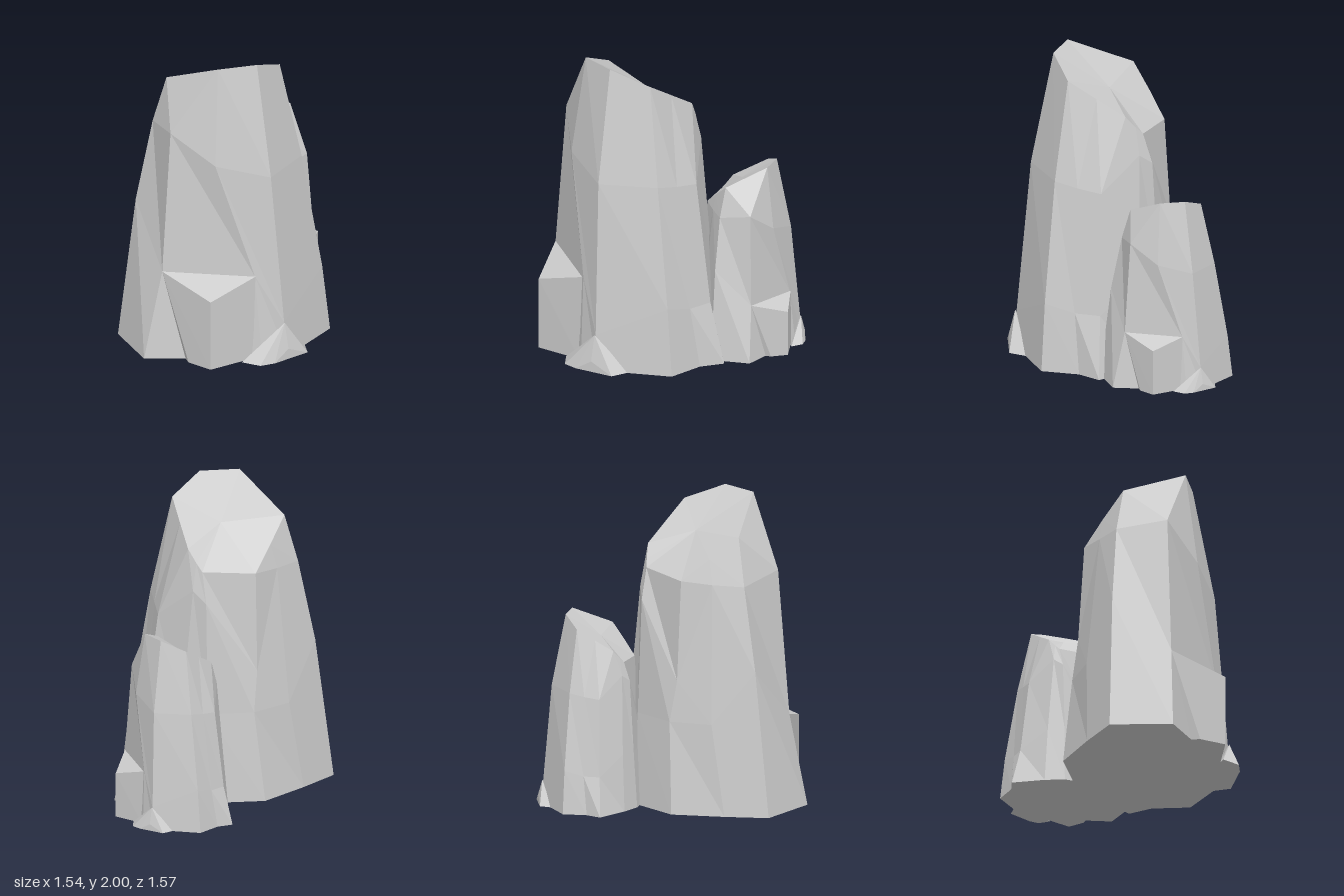
import * as THREE from 'three';
import { ConvexGeometry } from 'three/addons/geometries/ConvexGeometry.js';

// Ridges of the pillar, anticlockwise from above; each runs rim, shoulder, waist, base.
const RIDGES = [
  [[0, 2, 0.48], [0.04, 1.25, 0.62], [0.1, 0.24, 0.7], [0.12, 0, 0.71]],
  [[0.22, 1.9, 0.33], [0.35, 1.25, 0.385], [0.48, 0.45, 0.42], [0.53, 0, 0.43]],
  [[0.216, 1.79, 0.14], [0.365, 1.22, 0.23], [0.48, 0.4, 0.22], [0.53, 0, 0.18]],
  [[0.21, 1.68, -0.05], [0.38, 1.2, 0.07], [0.49, 0.4, 0.05], [0.6, 0, 0.03]],
  [[0.17, 1.6, -0.11], [0.2, 1.42, -0.14], [0.28, 0.6, -0.16], [0.33, 0, -0.185]],
  [[0.14, 1.55, -0.15], [0.13, 1.35, -0.21], [0.13, 0.6, -0.25], [0.15, 0, -0.29]],
  [[-0.2, 1.53, -0.21], [-0.2, 0.87, -0.25], [-0.17, 0.6, -0.29], [-0.23, 0, -0.345]],
  [[-0.33, 1.67, -0.08], [-0.37, 1.51, -0.1], [-0.43, 0.6, -0.18], [-0.53, 0, -0.17]],
  [[-0.46, 1.81, 0.06], [-0.54, 1.5, 0.02], [-0.65, 0.95, 0], [-0.77, 0, -0.01]],
  [[-0.26, 2, 0.45], [-0.55, 1.55, 0.35], [-0.62, 0.59, 0.38], [-0.755, 0, 0.4]],
  [[-0.26, 2, 0.45], [-0.31, 1.35, 0.53], [-0.08, 0.575, 0.64], [-0.05, 0, 0.69]],
];

const material = new THREE.MeshStandardMaterial({
  color: 0xcccccc, flatShading: true, roughness: 1,
});

const centreOf = (points) => [0, 1, 2].map(
  (axis) => points.reduce((sum, p) => sum + p[axis], 0) / points.length);

// Joins the ridges with faceted sides and closes both ends.
function pillarGeometry() {
  const positions = [];
  const same = (p, q) => p.every((v, k) => v === q[k]);
  const tri = (a, b, c) => {
    if (!same(a, b) && !same(b, c) && !same(a, c)) positions.push(...a, ...b, ...c);
  };
  const last = RIDGES[0].length - 1;
  const top = centreOf(RIDGES.map((r) => r[0]));
  const bottom = centreOf(RIDGES.map((r) => r[last]));
  RIDGES.forEach((a, i) => {
    const b = RIDGES[(i + 1) % RIDGES.length];
    for (let level = 0; level < last; level++) {
      tri(a[level + 1], b[level + 1], a[level]);
      tri(b[level + 1], b[level], a[level]);
    }
    tri(a[0], b[0], top);
    tri(b[last], a[last], bottom);
  });
  const geometry = new THREE.BufferGeometry();
  geometry.setAttribute('position', new THREE.Float32BufferAttribute(positions, 3));
  geometry.computeVertexNormals();
  return geometry;
}

const chunkGeometry = (points) =>
  new ConvexGeometry(points.map((p) => new THREE.Vector3(...p)));

export function createModel() {
  const model = new THREE.Group();
  model.name = 'rockFormation';

  const parts = {
    pillar: pillarGeometry(),
    // Broken ledge on the front corner
    ledge: chunkGeometry([
      [-0.62, 0.59, 0.38], [-0.08, 0.575, 0.65], [-0.42, 0.48, 0.717],
      [-0.42, 0, 0.717], [-0.1, 0, 0.66], [-0.51, 0, 0.56], [-0.5, 0, 0.4],
    ]),
    // Low rubble at the foot of the front ridge
    footStone: chunkGeometry([
      [0.1, 0.24, 0.71], [-0.19, 0, 0.69], [-0.1, 0, 0.785], [0, 0, 0.785],
      [0.11, 0.07, 0.75], [0.26, 0, 0.71], [0.29, 0, 0.58], [0.1, 0, 0.55],
    ]),
  };

  // The same rock twice: once full size, once smaller and turned
  const addRock = (name, scale, turn, x, z) => {
    const rock = new THREE.Group();
    rock.name = name;
    for (const [part, geometry] of Object.entries(parts)) {
      const mesh = new THREE.Mesh(geometry, material);
      mesh.name = part;
      rock.add(mesh);
    }
    rock.scale.setScalar(scale);
    rock.rotation.y = THREE.MathUtils.degToRad(turn);
    rock.position.set(x, 0, z);
    model.add(rock);
  };
  addRock('tallRock', 1, 0, 0, 0);
  addRock('shortRock', 0.625, 121, 0.254, -0.365);

  return model;
}
